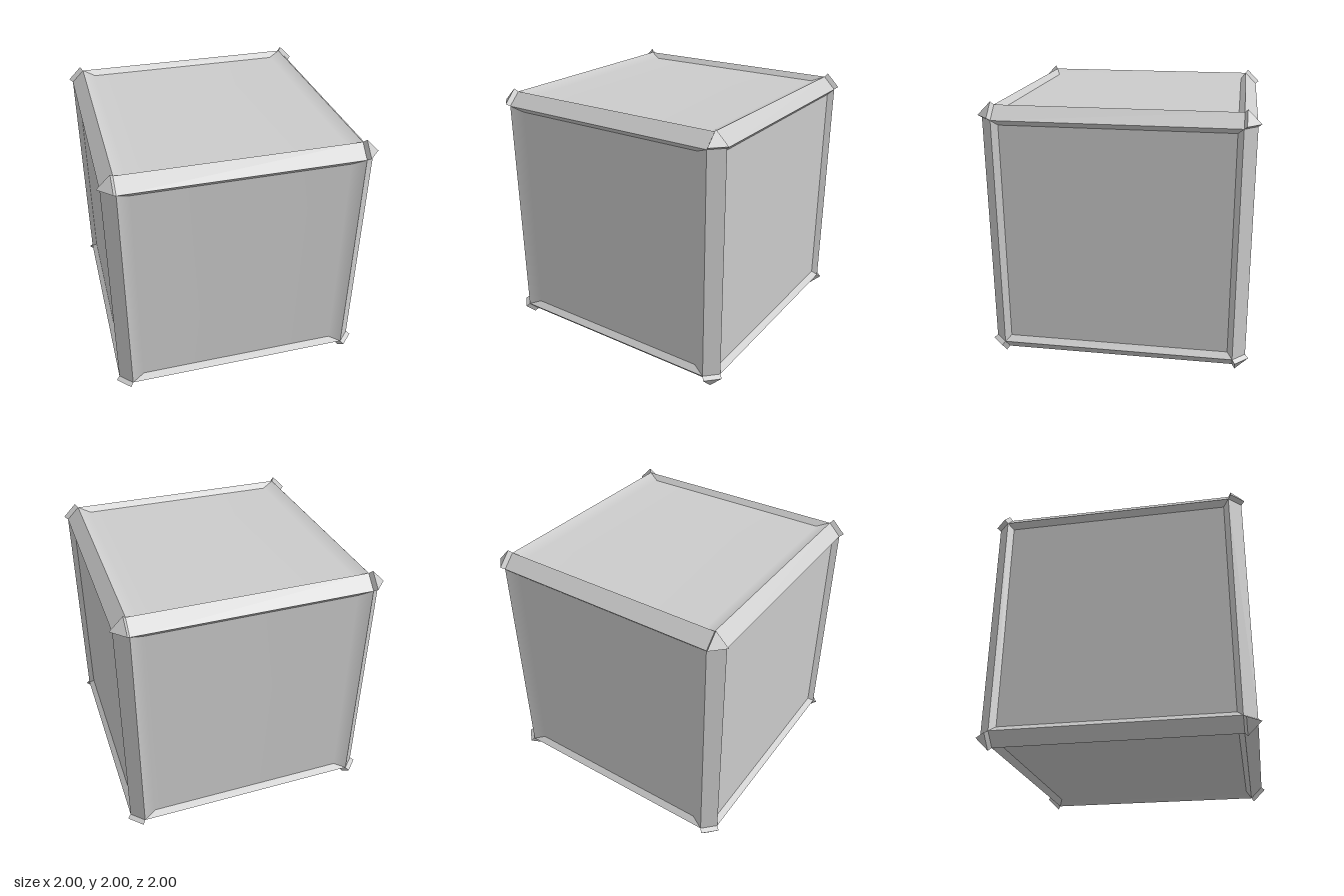
import * as THREE from 'three';
import { ConvexGeometry } from 'three/addons/geometries/ConvexGeometry.js';

const EDGE = 0.88;   // where a panel recess meets the edge bevels
const FACE = 0.975;  // outer plane of the frame
const TIP = 1.0;     // reach of the corner caps
const CAP = 0.9;     // offset of the corner cap tips
const DEPTH = 0.04;  // recess of the panels

const material = new THREE.MeshStandardMaterial({ color: 0xcccccc });
const flatMaterial = new THREE.MeshStandardMaterial({ color: 0xcccccc, flatShading: true });

function indexed(points, index) {
  const g = new THREE.BufferGeometry();
  g.setAttribute('position', new THREE.Float32BufferAttribute(points.flat(), 3));
  g.setIndex(index);
  g.computeVertexNormals();
  return g;
}

// Rectangle ring corners, counter-clockwise seen from +z
const ring = (x, y, z) => [[-x, -y, z], [x, -y, z], [x, y, z], [-x, y, z]];

// A recessed panel facing +z; gentle side slopes blend smoothly into it
function makePanel(innerX, innerY, smoothSides) {
  const panel = new THREE.Group();
  const points = [...ring(EDGE, EDGE, FACE), ...ring(innerX, innerY, FACE - DEPTH)];
  const centre = [4, 5, 6, 4, 6, 7];
  const slopes = [];
  for (let i = 0; i < 4; i++) {
    const j = (i + 1) % 4;
    const target = smoothSides && i % 2 === 1 ? centre : slopes;
    target.push(i, j, j + 4, i, j + 4, i + 4);
  }
  const sheet = new THREE.Mesh(indexed(points, centre), material);
  sheet.name = 'panelSheet';
  const border = new THREE.Mesh(indexed(points, slopes), flatMaterial);
  border.name = 'panelBorder';
  panel.add(sheet, border);
  return panel;
}

export function createModel() {
  const model = new THREE.Group();
  model.name = 'framedCube';
  const body = new THREE.Group();
  body.name = 'cubeBody';
  body.position.y = TIP;
  model.add(body);

  // Front, top, back and bottom panels
  ['frontPanel', 'bottomPanel', 'backPanel', 'topPanel'].forEach((name, i) => {
    const panel = makePanel(0.785, 0.84, true);
    panel.name = name;
    panel.rotation.x = i * Math.PI / 2;
    body.add(panel);
  });

  // Side panels
  for (const s of [1, -1]) {
    const panel = makePanel(0.84, 0.84, false);
    panel.name = s > 0 ? 'leftPanel' : 'rightPanel';
    panel.rotation.y = s * Math.PI / 2;
    body.add(panel);
  }

  // Bevelled edge strips: four around each axis
  const mid = (EDGE + FACE) / 2;
  const strip = new THREE.PlaneGeometry(2 * EDGE, (FACE - EDGE) * Math.SQRT2);
  strip.translate(0, 0, mid * Math.SQRT2);
  const turns = [[0, 0], [0, Math.PI / 2], [Math.PI / 2, 0]];
  turns.forEach(([ry, rz]) => {
    const edges = new THREE.Group();
    edges.name = 'edgeStrips';
    edges.rotation.set(0, ry, rz);
    for (let k = 0; k < 4; k++) {
      const edge = new THREE.Mesh(strip, flatMaterial);
      edge.name = 'edgeStrip';
      edge.rotation.x = Math.PI / 4 + k * Math.PI / 2;
      edges.add(edge);
    }
    body.add(edges);
  });

  // Flared triangular caps on the eight corners
  for (const sx of [1, -1]) for (const sy of [1, -1]) for (const sz of [1, -1]) {
    const points = [];
    for (const [far, near] of [[FACE, EDGE], [TIP, CAP]]) {
      for (let a = 0; a < 3; a++) {
        const p = new THREE.Vector3(near, near, near).setComponent(a, far);
        points.push(p.multiply(new THREE.Vector3(sx, sy, sz)));
      }
    }
    const cap = new THREE.Mesh(new ConvexGeometry(points), flatMaterial);
    cap.name = 'cornerCap';
    body.add(cap);
  }

  return model;
}
